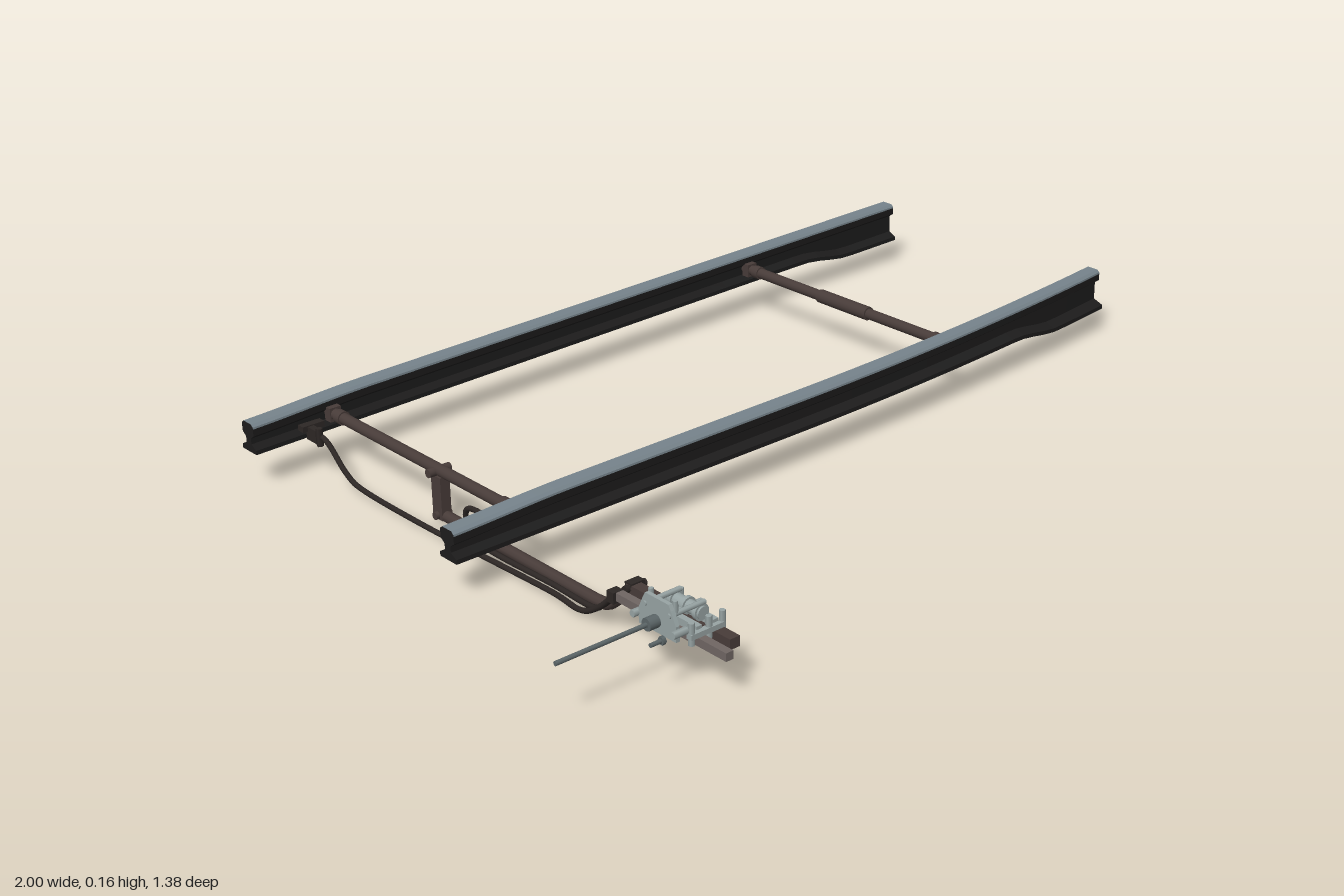
import * as THREE from 'three';

const mat = (name, color) => {
  const m = new THREE.MeshStandardMaterial({ color });
  m.name = name;
  return m;
};
const V = (x, y, z) => new THREE.Vector3(x, y, z);

export function createModel() {
  const group = new THREE.Group();
  const darkIron = mat('dark iron', 0x1d1c1c);
  const steel = mat('worn steel', 0x76838b);
  const rust = mat('rusty brown', 0x483c39);
  const rodDark = mat('dark rod', 0x2d2725);
  const grey = mat('light grey metal', 0x98a4a4);
  const brownGrey = mat('brownish grey', 0x6f6663);
  const darkGrey = mat('dark grey metal', 0x5c6668);

  const add = (name, geo, material, x = 0, y = 0, z = 0) => {
    const m = new THREE.Mesh(geo, material);
    m.name = name;
    m.position.set(x, y, z);
    group.add(m);
    return m;
  };
  const box = (name, material, w, h, d, x, y, z) =>
    add(name, new THREE.BoxGeometry(w, h, d), material, x, y, z);
  // Cylinder lying along the given axis
  const rod = (name, material, axis, r, len, x, y, z, sides = 14) => {
    const g = new THREE.CylinderGeometry(r, r, len, sides);
    if (axis === 'x') g.rotateZ(Math.PI / 2);
    if (axis === 'z') g.rotateX(Math.PI / 2);
    return add(name, g, material, x, y, z);
  };
  const tube = (name, material, r, pts, tension = 0.25) => add(name, new THREE.TubeGeometry(
    new THREE.CatmullRomCurve3(pts.map(p => V(...p)), false, 'catmullrom', tension), 70, r, 10), material);

  // Rail: an I section lofted along x, with a deeper foot at the right-hand end
  function rail(name, x0, x1, zAt, footL, footR) {
    const rows = 48, sections = [];
    for (let i = 0; i <= rows; i++) {
      const x = x0 + (x1 - x0) * i / rows;
      const t = i / rows, s = THREE.MathUtils.smoothstep(x, 0.66, 0.82);
      const top = 0.139 + 0.008 * THREE.MathUtils.smoothstep(x, -0.9, -0.6);
      const low = 0.077 - 0.02 * s;
      const foot = footL + (footR - footL) * t;
      const half = [[0.014, top], [0.020, top - 0.005], [0.0205, top - 0.009], [0.020, top - 0.024],
        [0.009, top - 0.032], [0.009, low + 0.018], [foot, low + 0.009], [foot, low]];
      const right = half.map(([w, y]) => V(x, y, zAt(x) + w));
      const left = half.map(([w, y]) => V(x, y, zAt(x) - w));
      sections.push({ right, left, loop: [left[2], left[1], left[0], ...right, ...left.slice(3).reverse()] });
    }
    const head = [], body = [];
    const quad = (out, a, b, c, d) => [a, b, c, a, c, d].forEach(p => out.push(p.x, p.y, p.z));
    for (let i = 0; i < rows; i++) {
      const a = sections[i].loop, b = sections[i + 1].loop;
      a.forEach((p, j) => {
        const k = (j + 1) % a.length;
        quad(j < 5 ? head : body, p, a[k], b[k], b[j]);
      });
    }
    // End faces
    const s = sections[0], e = sections[rows];
    for (let k = 0; k < 7; k++) {
      quad(body, e.left[k], e.right[k], e.right[k + 1], e.left[k + 1]);
      quad(body, s.left[k + 1], s.right[k + 1], s.right[k], s.left[k]);
    }
    const g = new THREE.BufferGeometry();
    g.setAttribute('position', new THREE.Float32BufferAttribute([...head, ...body], 3));
    g.addGroup(0, head.length / 3, 0);
    g.addGroup(head.length / 3, body.length / 3, 1);
    g.computeVertexNormals();
    add(name, g, [steel, darkIron]);
  }
  const frontZ = x => 0.08 - 0.013 * (x + 0.87) - 0.06 * Math.pow(Math.max(0, x + 0.05), 2);
  const backZ = x => -0.57 - 0.051 * (x + 0.885);
  rail('frontRail', -0.87, 0.997, frontZ, 0.025, 0.034);
  rail('backRail', -0.885, 0.988, backZ, 0.025, 0.029);

  // Tie bars between the rails, with end lugs and bolts
  for (const x of [-0.7, 0.48]) {
    const zf = frontZ(x), zb = backZ(x);
    rod('tieBar', rust, 'z', 0.012, zf - zb - 0.02, x, 0.11, (zf + zb) / 2);
    for (const [z, s] of [[zf, -1], [zb, 1]]) {
      box('tieBarLug', rust, 0.026, 0.03, 0.02, x, 0.11, z + s * 0.024);
      rod('tieBarCollar', rust, 'z', 0.015, 0.018, x, 0.11, z + s * 0.055);
    }
  }
  rod('tieBarSleeve', rust, 'z', 0.0155, 0.155, 0.48, 0.11, -0.297);

  // Post joining the near tie bar to the low drive rod
  box('drivePost', rust, 0.022, 0.09, 0.03, -0.7, 0.055, -0.186);
  rod('postBolt', rust, 'x', 0.009, 0.05, -0.7, 0.108, -0.19);
  rod('postBolt', rust, 'x', 0.008, 0.036, -0.7, 0.018, -0.186);

  // Drive rod: low run under the rail, then a rise to the mechanism
  tube('driveRod', rust, 0.0115, [[-0.7, 0.017, -0.2], [-0.7, 0.017, 0.05], [-0.7, 0.017, 0.28],
    [-0.7, 0.022, 0.32], [-0.7, 0.045, 0.35], [-0.7, 0.078, 0.385], [-0.7, 0.085, 0.41]]);
  box('driveBar', rust, 0.022, 0.02, 0.27, -0.704, 0.085, 0.525);
  box('driveBarJoint', rodDark, 0.03, 0.026, 0.018, -0.7, 0.085, 0.395);
  rod('driveBarBolt', rodDark, 'x', 0.007, 0.046, -0.7, 0.087, 0.395);

  // Detector rods leading from each rail to the mechanism
  tube('backDetectorRod', rodDark, 0.0055, [[-0.762, 0.095, -0.54], [-0.758, 0.085, -0.49],
    [-0.754, 0.035, -0.435], [-0.75, 0.014, -0.38], [-0.744, 0.007, -0.19], [-0.738, 0.008, 0],
    [-0.735, 0.012, 0.2], [-0.742, 0.014, 0.29], [-0.745, 0.04, 0.345], [-0.745, 0.08, 0.39]], 0.5);
  tube('frontDetectorRod', rodDark, 0.0055, [[-0.74, 0.095, 0.05], [-0.74, 0.098, -0.02],
    [-0.738, 0.085, -0.05], [-0.732, 0.05, -0.055], [-0.726, 0.022, -0.03], [-0.722, 0.014, 0.03],
    [-0.718, 0.014, 0.18], [-0.724, 0.018, 0.3], [-0.735, 0.045, 0.35], [-0.74, 0.08, 0.39]], 0.5);
  box('detectorBar', brownGrey, 0.016, 0.016, 0.295, -0.74, 0.085, 0.54);
  box('detectorJoint', rodDark, 0.022, 0.022, 0.018, -0.743, 0.083, 0.393);

  // Brackets bolting the detector rods to the rails
  box('backBracket', rodDark, 0.05, 0.012, 0.018, -0.755, 0.1, -0.55);
  box('backBracketArm', rodDark, 0.014, 0.028, 0.034, -0.762, 0.09, -0.53);
  rod('backBracketBolt', rodDark, 'y', 0.007, 0.038, -0.762, 0.09, -0.51, 6);
  box('frontBracket', rodDark, 0.03, 0.016, 0.04, -0.74, 0.1, 0.04);

  // Light grey mechanism clamped across the bars
  for (const z of [0.508, 0.615]) {
    box('clamp', grey, 0.075, 0.01, 0.012, -0.728, 0.1, z);
    for (const x of [-0.76, -0.722, -0.692]) rod('clampBolt', grey, 'y', 0.006, 0.042, x, 0.104, z, 6);
  }
  for (const x of [-0.74, -0.704]) box('slideBar', grey, 0.012, 0.014, 0.1, x, 0.104, 0.562);
  rod('slideDrum', grey, 'z', 0.012, 0.08, -0.722, 0.124, 0.562);
  for (const z of [0.53, 0.562, 0.594]) rod('drumRing', grey, 'z', 0.016, 0.008, -0.722, 0.124, z);

  // Upright plate with a tapered top
  const outline = new THREE.Shape([[-0.048, 0.096], [0.048, 0.096], [0.048, 0.125], [0.036, 0.15], [0.03, 0.16],
    [-0.03, 0.16], [-0.036, 0.15], [-0.048, 0.125]].map(p => new THREE.Vector2(...p)));
  const plate = new THREE.ExtrudeGeometry(outline, { depth: 0.008, bevelEnabled: false });
  plate.rotateY(Math.PI / 2);
  add('mechanismPlate', plate, grey, -0.789, 0, 0.562);
  for (const z of [0.532, 0.594]) {
    rod('plateSpacer', grey, 'x', 0.005, 0.08, -0.752, 0.14, z, 8);
    rod('plateStud', grey, 'y', 0.005, 0.024, -0.776, 0.152, z, 6);
  }
  for (const z of [0.51, 0.614]) rod('cornerBolt', grey, 'x', 0.007, 0.03, -0.785, 0.115, z, 6);

  // Operating rod and hub
  rod('operatingHub', darkGrey, 'x', 0.012, 0.028, -0.797, 0.118, 0.56);
  rod('operatingRod', darkGrey, 'x', 0.0045, 0.24, -0.88, 0.118, 0.56, 10);
  rod('crossShaft', grey, 'x', 0.007, 0.1, -0.74, 0.118, 0.56, 10);
  rod('sidePin', darkGrey, 'x', 0.004, 0.028, -0.828, 0.11, 0.607, 8);
  rod('sidePinHead', darkGrey, 'x', 0.008, 0.007, -0.816, 0.11, 0.607, 6);

  return group;
}
